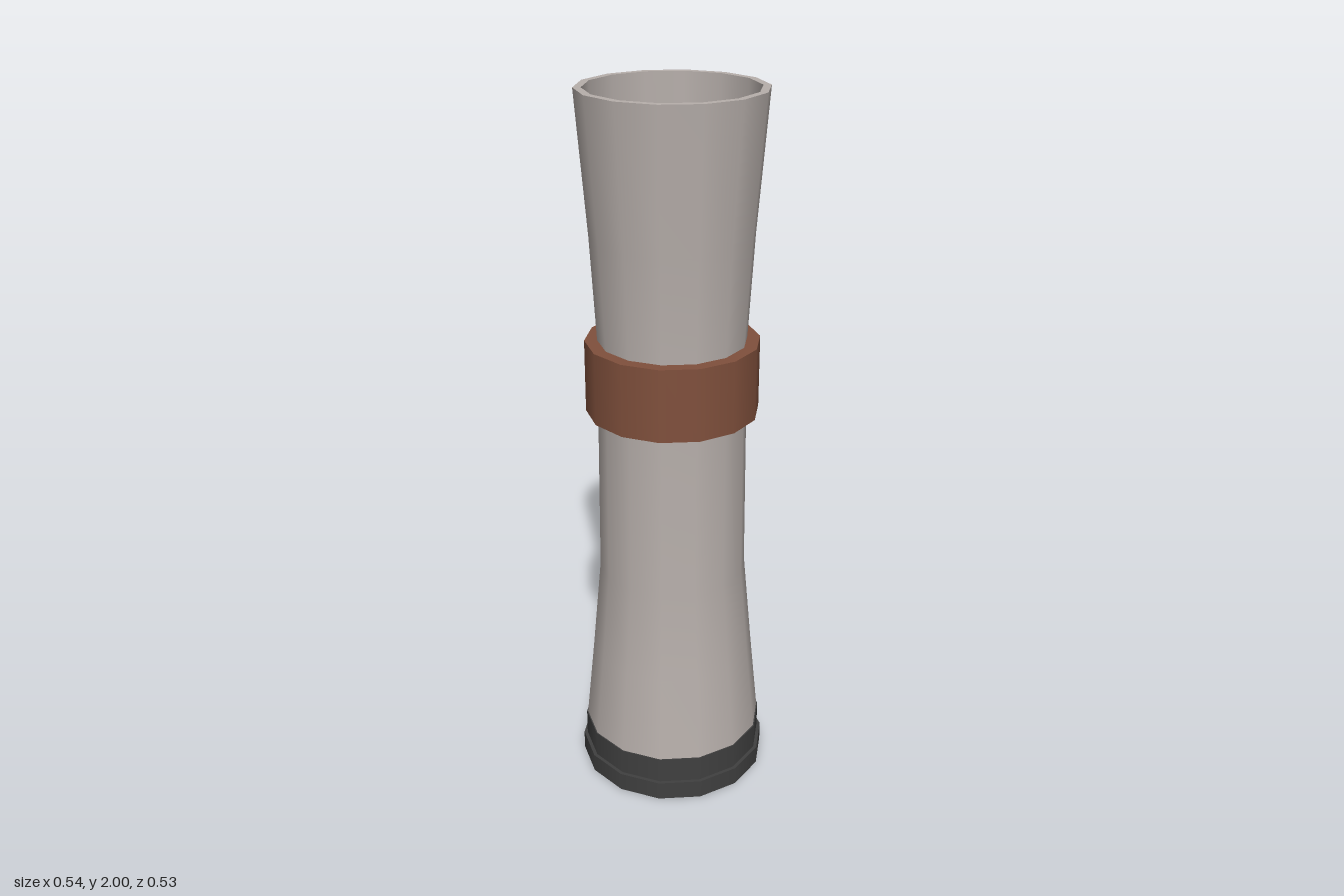
import * as THREE from 'three';
import { mergeGeometries } from 'three/addons/utils/BufferGeometryUtils.js';

const SIDES = 14;

// Each strip is a run of [radius, height] points turned around y; strips meet at sharp edges.
function turned(name, color, strips) {
  const parts = strips.map((strip) => new THREE.LatheGeometry(
    strip.map(([r, y]) => new THREE.Vector2(r, y)), SIDES, Math.PI / SIDES));
  const mesh = new THREE.Mesh(mergeGeometries(parts), new THREE.MeshStandardMaterial({ color }));
  mesh.name = name;
  return mesh;
}

// Splits a closed-up profile into one strip per straight run.
const sharp = (points) => points.slice(1).map((p, i) => [points[i], p]);

export function createModel() {
  const model = new THREE.Group();
  model.name = 'flaredTube';

  // Flared shaft with a thick rim and a straight inner wall
  model.add(turned('shaft', 0xb7afab, [
    [[0.259, 0.13], [0.234, 0.38], [0.209, 0.65], [0.205, 1.1], [0.203, 1.335], [0.219, 1.62], [0.249, 2]],
    [[0.249, 2], [0.228, 2]],
    [[0.228, 2], [0.228, 1.85]],
  ]));

  // Dark plate recessed in the mouth
  model.add(turned('mouthPlate', 0x404040, [[[0.228, 1.85], [0, 1.85]]]));

  // Band around the waist
  model.add(turned('band', 0x80503c, sharp(
    [[0.2, 1.132], [0.238, 1.132], [0.238, 1.335], [0.2, 1.335]])));

  // Two-step foot
  model.add(turned('foot', 0x404040, sharp(
    [[0, 0], [0.272, 0], [0.272, 0.055], [0.262, 0.055], [0.262, 0.132], [0.25, 0.132]])));

  return model;
}
